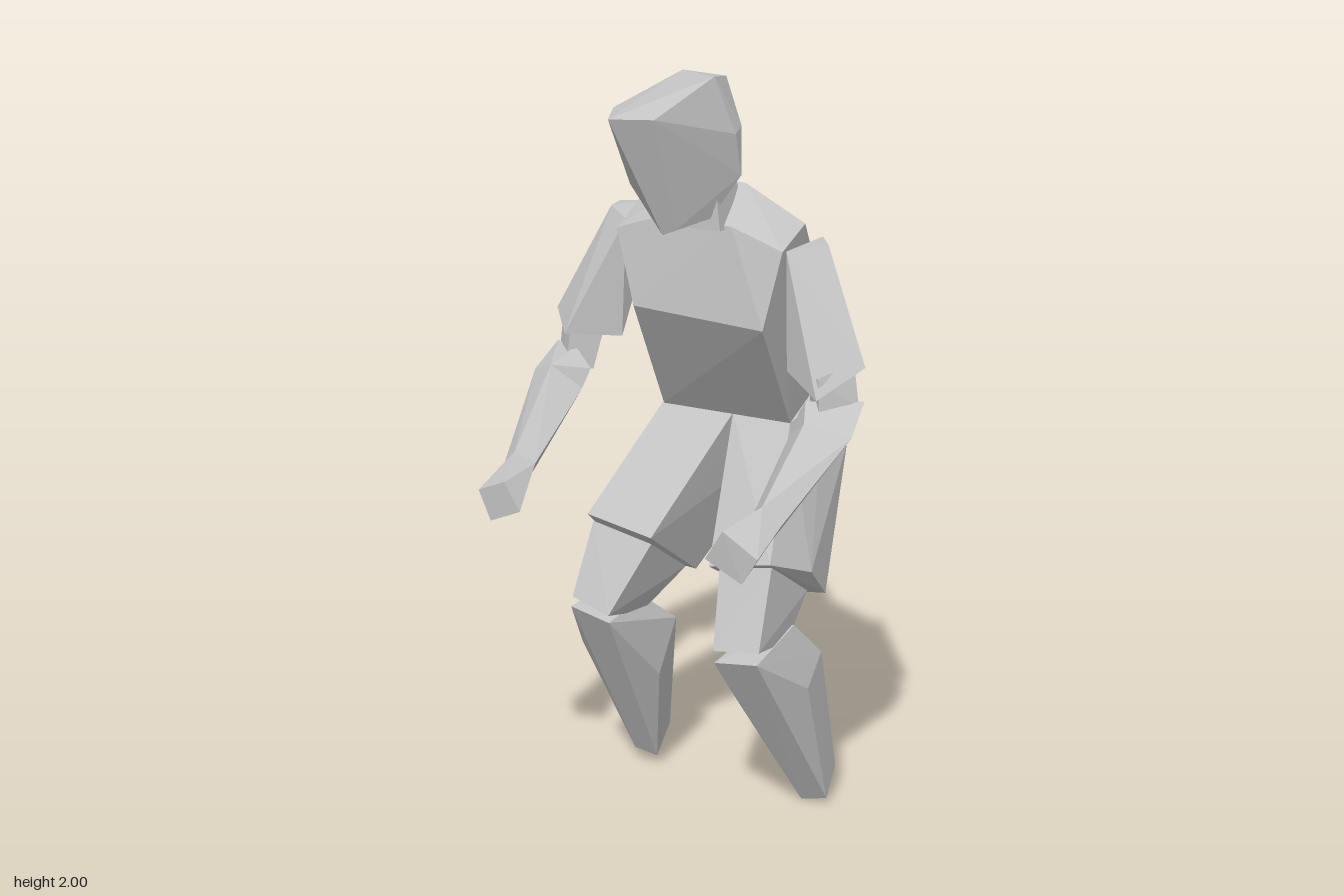
import * as THREE from 'three';
import { ConvexGeometry } from 'three/addons/geometries/ConvexGeometry.js';

const grey = new THREE.MeshStandardMaterial({ color: 0xc4c4c4, flatShading: true });
grey.name = 'plain grey';

// Faceted solid wrapped around a few corner points
function solid(name, corners) {
  const mesh = new THREE.Mesh(new ConvexGeometry(corners.map((c) => new THREE.Vector3(...c))), grey);
  mesh.name = name;
  return mesh;
}

// Chain of faceted segments running through four-cornered rings
function limb(name, rings) {
  const group = new THREE.Group();
  group.name = name;
  for (let i = 0; i < rings.length - 1; i++) {
    group.add(solid(name + 'Segment' + (i + 1), [...rings[i], ...rings[i + 1]]));
  }
  return group;
}

export function createModel() {
  const model = new THREE.Group();
  model.name = 'crouchingFigure';

  // Head, turned to its right and tilted down
  model.add(solid('head', [
    [-0.18, 1.91, 0.13], [-0.125, 1.905, 0.25], [0.003, 1.915, 0.255],
    [-0.065, 1.99, -0.01], [0.08, 2, 0.1], [0.07, 1.99, 0.02],
    [0.005, 1.89, -0.05], [0.117, 1.875, 0.03], [0.117, 1.86, 0.06],
    [0.005, 1.74, -0.045], [0.117, 1.755, 0.03], [-0.06, 1.75, 0.01],
    [-0.13, 1.73, 0.14], [-0.035, 1.615, 0.15], [0.0, 1.63, 0.15], [0.055, 1.65, 0.07],
  ]));
  model.add(solid('neck', [
    [-0.06, 1.62, 0.07], [0.08, 1.62, 0.07], [0.09, 1.62, -0.05], [-0.06, 1.62, -0.06],
    [-0.04, 1.8, 0.07], [0.06, 1.8, 0.07], [0.06, 1.8, -0.02], [-0.04, 1.8, -0.02],
  ]));

  // Torso, leaning forward: waist, chest, shoulders, collar
  model.add(solid('torso', [
    [-0.2, 1.08, -0.15], [0.17, 1.08, -0.15], [0.19, 1.2, -0.39], [-0.17, 1.2, -0.435],
    [-0.17, 1.4, 0.06], [0.2, 1.385, 0.075],
    [-0.25, 1.58, 0], [0.235, 1.58, 0.04],
    [-0.235, 1.65, -0.12], [0, 1.66, -0.17], [0.245, 1.63, -0.065],
    [-0.06, 1.72, -0.055], [0.09, 1.72, -0.045], [-0.08, 1.64, 0.04], [0.1, 1.63, 0.05],
  ]));

  // Arms: sleeve, elbow joint, forearm ending in a blunt hand
  model.add(solid('leftUpperArm', [
    [0.32, 1.59, -0.04], [0.24, 1.58, 0.03], [0.23, 1.56, -0.08], [0.27, 1.59, -0.115],
    [0.46, 1.32, 0.04], [0.375, 1.25, 0.135], [0.26, 1.29, 0.06], [0.36, 1.33, -0.05],
  ]));
  model.add(solid('rightUpperArm', [
    [-0.22, 1.62, -0.175], [-0.31, 1.62, -0.12], [-0.3, 1.62, -0.06], [-0.235, 1.6, -0.02],
    [-0.45, 1.34, -0.03], [-0.375, 1.3, 0.06], [-0.25, 1.29, -0.02], [-0.34, 1.33, -0.1],
  ]));
  model.add(solid('leftElbow', [
    [0.43, 1.33, 0.04], [0.37, 1.3, 0.12], [0.31, 1.3, 0.05], [0.37, 1.33, -0.02],
    [0.45, 1.22, 0.05], [0.38, 1.2, 0.125], [0.33, 1.18, 0.06], [0.39, 1.17, 0],
  ]));
  model.add(solid('rightElbow', [
    [-0.43, 1.34, -0.03], [-0.37, 1.3, 0.04], [-0.3, 1.3, -0.01], [-0.36, 1.33, -0.08],
    [-0.44, 1.22, -0.02], [-0.38, 1.2, 0.05], [-0.32, 1.2, 0.01], [-0.39, 1.18, -0.05],
  ]));
  model.add(limb('leftForearm', [
    [[0.46, 1.235, 0.04], [0.34, 1.24, 0.12], [0.31, 1.2, 0.09], [0.4, 1.16, 0]],
    [[0.468, 1.17, 0.13], [0.36, 1.2, 0.17], [0.3, 1.15, 0.12], [0.39, 1.08, 0.09]],
    [[0.385, 1, 0.34], [0.34, 1.045, 0.35], [0.297, 1, 0.32], [0.34, 0.94, 0.3]],
    [[0.377, 0.95, 0.447], [0.29, 1.01, 0.457], [0.24, 0.93, 0.45], [0.335, 0.88, 0.445]],
  ]));
  model.add(limb('rightForearm', [
    [[-0.45, 1.25, -0.03], [-0.36, 1.26, 0.03], [-0.31, 1.21, 0.04], [-0.4, 1.17, -0.05]],
    [[-0.472, 1.19, 0.05], [-0.4, 1.22, 0.09], [-0.325, 1.16, 0.06], [-0.4, 1.09, 0.03]],
    [[-0.44, 0.99, 0.265], [-0.4, 1.04, 0.27], [-0.35, 1.01, 0.255], [-0.4, 0.94, 0.22]],
    [[-0.447, 0.96, 0.37], [-0.36, 1, 0.385], [-0.313, 0.93, 0.39], [-0.41, 0.885, 0.375]],
  ]));

  // Shorts: one leg each, meeting at the hips
  model.add(solid('leftShortsLeg', [
    [0, 1.08, -0.16], [0.17, 1.08, -0.15], [0.02, 1.1, -0.37], [0.18, 1.1, -0.33],
    [0.01, 0.95, -0.41], [0.22, 0.96, -0.4],
    [0.04, 0.73, 0.05], [0.225, 0.775, 0.07], [0.28, 0.72, -0.06],
    [0.06, 0.595, -0.16], [0.27, 0.62, -0.17],
  ]));
  model.add(solid('rightShortsLeg', [
    [-0.205, 1.08, -0.15], [0, 1.08, -0.16], [-0.16, 1.11, -0.39], [0.06, 1.11, -0.35],
    [-0.18, 0.95, -0.455], [0.05, 0.95, -0.42],
    [-0.315, 0.815, 0.06], [-0.12, 0.785, 0.07], [-0.345, 0.73, -0.08],
    [-0.335, 0.64, -0.15], [-0.11, 0.62, -0.16],
  ]));

  // Bare knees below the hems
  model.add(solid('leftKnee', [
    [0.06, 0.72, 0.03], [0.22, 0.76, 0.05], [0.08, 0.62, -0.12], [0.24, 0.64, -0.12],
    [0.1, 0.54, 0.14], [0.23, 0.56, 0.14], [0.11, 0.5, -0.03], [0.23, 0.53, -0.03],
  ]));
  model.add(solid('rightKnee', [
    [-0.31, 0.79, 0.04], [-0.13, 0.76, 0.05], [-0.31, 0.66, -0.12], [-0.12, 0.64, -0.12],
    [-0.33, 0.6, 0.12], [-0.21, 0.575, 0.14], [-0.32, 0.54, -0.02], [-0.2, 0.53, -0.02],
  ]));

  // Lower legs, tapering down and back to the heel
  model.add(solid('leftLowerLeg', [
    [0.1, 0.505, 0.135], [0.225, 0.525, 0.14], [0.13, 0.54, -0.05], [0.24, 0.57, -0.045],
    [0.15, 0.49, -0.14], [0.28, 0.47, -0.13], [0.285, 0.4, -0.04], [0.115, 0.345, 0.02],
    [0.21, 0.0, -0.17], [0.285, 0.02, -0.17], [0.22, 0.08, -0.235], [0.28, 0.09, -0.235],
  ]));
  model.add(solid('rightLowerLeg', [
    [-0.335, 0.57, 0.12], [-0.215, 0.55, 0.13], [-0.32, 0.58, -0.03], [-0.2, 0.57, -0.03],
    [-0.15, 0.485, -0.12], [-0.17, 0.335, -0.06], [-0.3, 0.48, -0.14], [-0.375, 0.415, 0],
    [-0.305, 0.04, -0.16], [-0.235, 0.03, -0.16], [-0.29, 0.1, -0.235], [-0.235, 0.1, -0.235],
  ]));

  return model;
}
